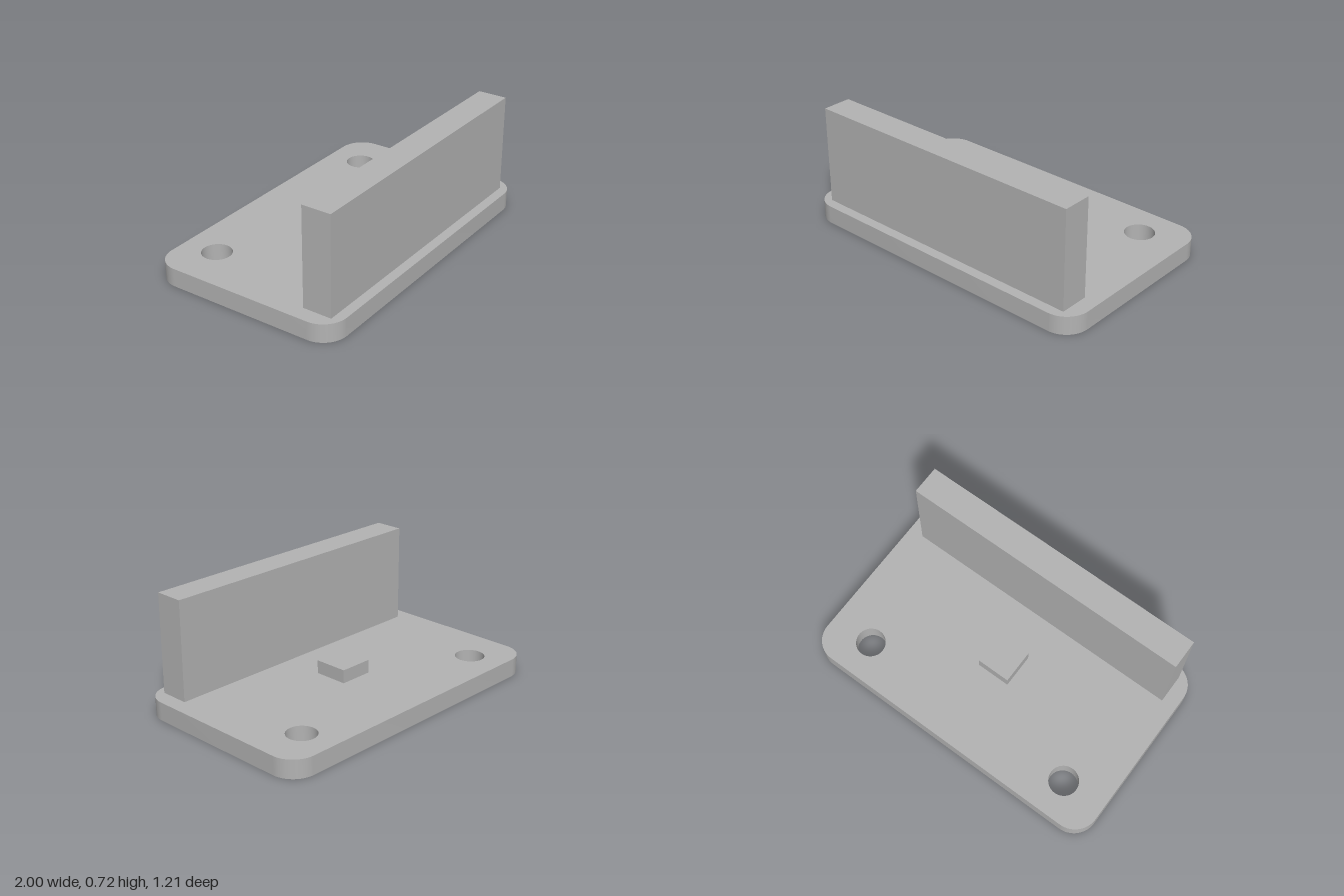
import * as THREE from 'three';
import { toCreasedNormals } from 'three/addons/utils/BufferGeometryUtils.js';

export function createModel() {
  const group = new THREE.Group();
  const grey = new THREE.MeshStandardMaterial({ color: 0xb3b3b3 });
  grey.name = 'light grey';

  const add = (name, geometry) => {
    const mesh = new THREE.Mesh(geometry, grey);
    mesh.name = name;
    group.add(mesh);
    return mesh;
  };

  // Base plate: rounded rectangle with two through holes near the back
  const w = 1, d = 0.606, r = 0.15, thickness = 0.113;
  const outline = new THREE.Shape();
  outline.absarc(w - r, d - r, r, 0, Math.PI / 2);
  outline.absarc(-w + r, d - r, r, Math.PI / 2, Math.PI);
  outline.absarc(-w + r, -d + r, r, Math.PI, Math.PI * 1.5);
  outline.absarc(w - r, -d + r, r, Math.PI * 1.5, Math.PI * 2);
  outline.closePath();
  for (const side of [-1, 1]) {
    const hole = new THREE.Path();
    hole.absarc(side * 0.72, 0.383, 0.09, 0, Math.PI * 2, true);
    outline.holes.push(hole);
  }
  const plate = new THREE.ExtrudeGeometry(outline, {
    depth: thickness, bevelEnabled: false, curveSegments: 24,
  });
  plate.rotateX(-Math.PI / 2);
  add('basePlate', toCreasedNormals(plate, Math.PI / 6));

  // Blocks standing on the plate
  const block = (name, width, top, depth, z) => {
    const height = top - thickness;
    add(name, new THREE.BoxGeometry(width, height, depth))
      .position.set(0, thickness + height / 2, z);
  };
  block('frontWall', 1.812, 0.723, 0.18, 0.455);
  block('centreBlock', 0.212, 0.195, 0.212, 0);

  return group;
}
